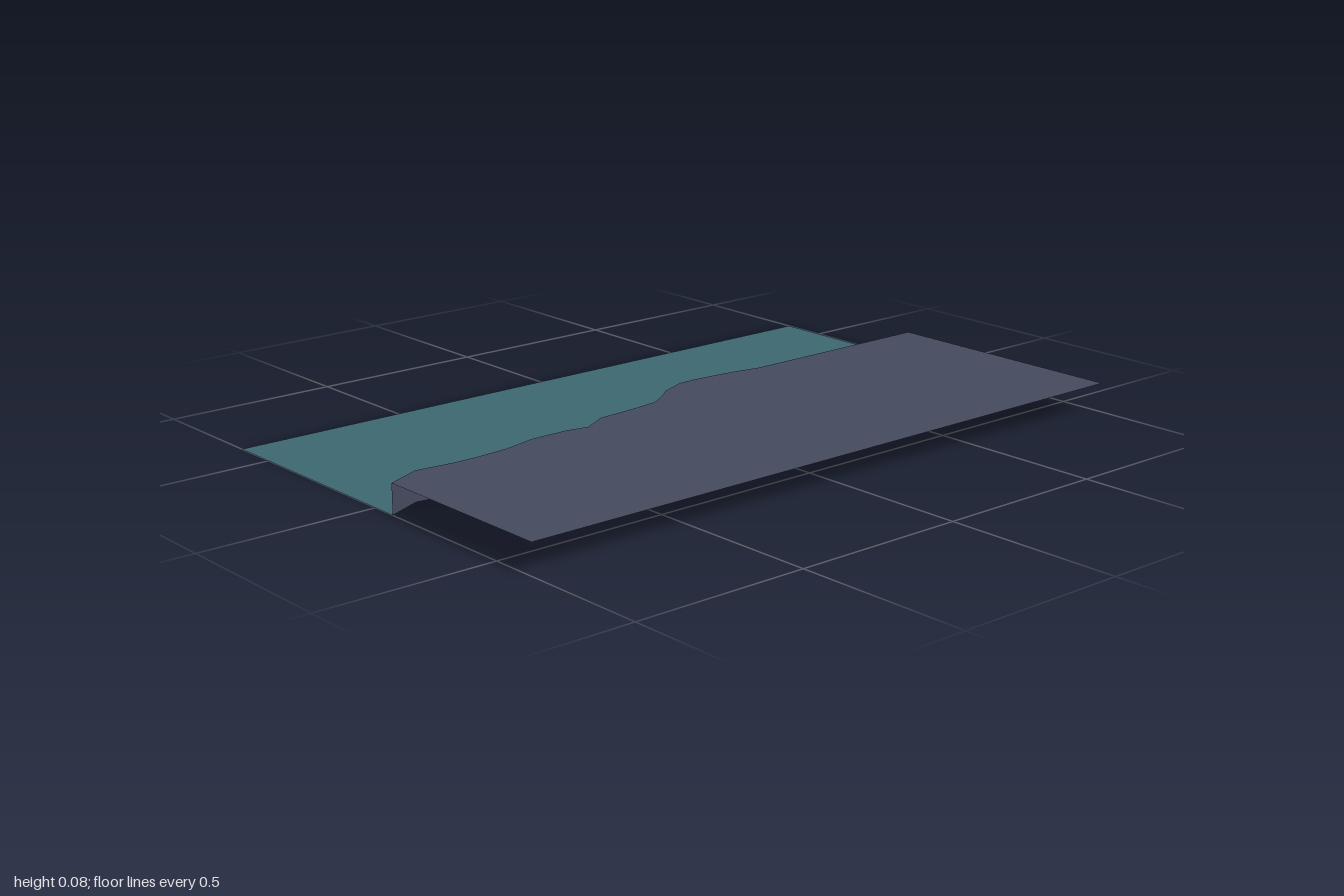
import * as THREE from 'three';

const DEPTH = 0.635;   // half depth of the tile
const CLIFF = 0.083;   // height of the land above the water

// Shoreline from left to right: [x, z]
const SHORE = [
  [-1, 0.075], [-0.9, 0.03], [-0.8, 0.041], [-0.72, 0.042], [-0.62, 0.034], [-0.52, 0.01],
  [-0.41, 0.01], [-0.345, 0.022], [-0.27, -0.02], [-0.14, -0.03], [-0.065, -0.04],
  [-0.02, -0.067], [0.03, -0.105], [0.11, -0.138], [0.165, -0.14], [0.3, -0.128],
  [0.385, -0.112], [1, -0.112],
];

// Flat sheet between the shoreline and a straight outer edge
function sheet(name, edgeZ, y, material) {
  const outline = [...SHORE, [1, edgeZ], [-1, edgeZ]];
  const shape = new THREE.Shape(outline.map(([x, z]) => new THREE.Vector2(x, -z)));
  const mesh = new THREE.Mesh(new THREE.ShapeGeometry(shape).rotateX(-Math.PI / 2), material);
  mesh.position.y = y;
  mesh.name = name;
  return mesh;
}

// Upright strip following the shoreline, facing the water
function cliffWall(material) {
  const positions = [];
  for (let i = 0; i < SHORE.length - 1; i++) {
    const [ax, az] = SHORE[i];
    const [bx, bz] = SHORE[i + 1];
    positions.push(ax, 0, az, ax, CLIFF, az, bx, CLIFF, bz);
    positions.push(ax, 0, az, bx, CLIFF, bz, bx, 0, bz);
  }
  const geometry = new THREE.BufferGeometry();
  geometry.setAttribute('position', new THREE.Float32BufferAttribute(positions, 3));
  geometry.computeVertexNormals();
  const mesh = new THREE.Mesh(geometry, material);
  mesh.name = 'cliffWall';
  return mesh;
}

export function createModel() {
  const land = new THREE.MeshStandardMaterial({ color: 0x464a5e, side: THREE.DoubleSide });
  land.name = 'slate land';
  const water = new THREE.MeshStandardMaterial({ color: 0x3d6871, side: THREE.DoubleSide });
  water.name = 'teal water';

  const model = new THREE.Group();
  model.name = 'coastTile';
  model.add(
    sheet('landTop', DEPTH, CLIFF, land),
    sheet('waterSurface', -DEPTH, 0, water),
    cliffWall(land),
  );
  return model;
}
